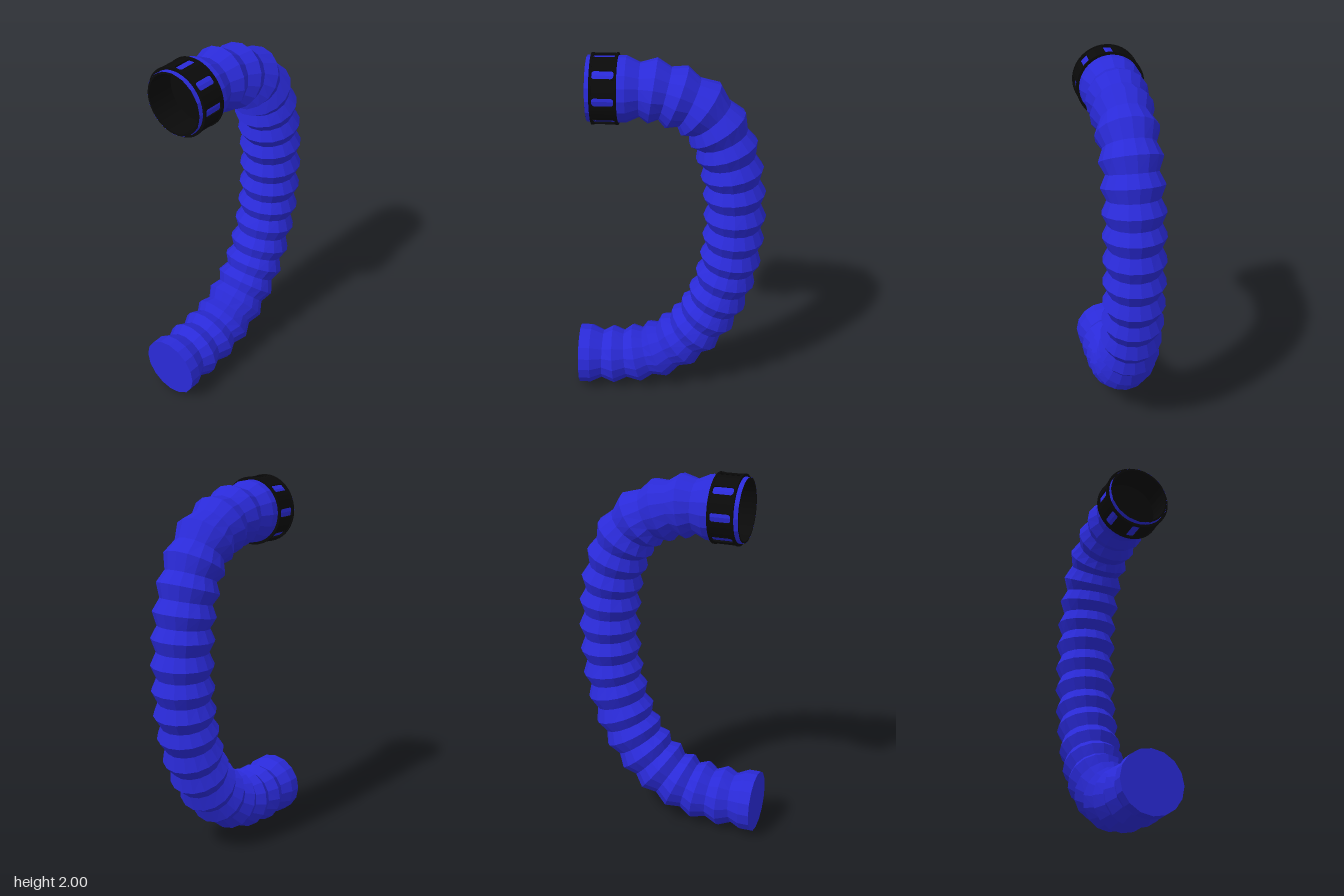
import * as THREE from 'three';

const SIDES = 16, PEAK = 0.167, VALLEY = 0.137;
const blue = new THREE.MeshStandardMaterial({ color: 0x2a2ad8, flatShading: true, side: THREE.DoubleSide });
const black = new THREE.MeshStandardMaterial({ color: 0x0a0a0a, flatShading: true, side: THREE.DoubleSide });

function add(parent, name, geometry, material) {
  const mesh = new THREE.Mesh(geometry, material);
  mesh.name = name;
  parent.add(mesh);
  return mesh;
}

// Centres of the ridges along the hose, from the lower end to the upper end
const RIDGES = [
  [-0.45, 0.17], [-0.32, 0.168], [-0.185, 0.182], [-0.065, 0.218], [0.05, 0.29], [0.14, 0.377],
  [0.213, 0.483], [0.265, 0.597], [0.305, 0.727], [0.33, 0.85], [0.342, 0.98], [0.346, 1.11],
  [0.34, 1.245], [0.325, 1.37], [0.293, 1.497], [0.243, 1.615], [0.155, 1.72], [0.035, 1.782],
  [-0.085, 1.814], [-0.215, 1.82],
];

// Skin rings of SIDES points, each ring square to the path
function loft(rings) {
  const pos = [], index = [];
  for (const { c, t, r } of rings) {
    for (let j = 0; j <= SIDES; j++) {
      const a = (j / SIDES) * Math.PI * 2, n = r * Math.cos(a);
      pos.push(c.x + t.y * n, c.y - t.x * n, r * Math.sin(a));
    }
  }
  const w = SIDES + 1;
  for (let i = 0; i < rings.length - 1; i++) {
    for (let j = 0; j < SIDES; j++) {
      const a = i * w + j, b = a + w;
      index.push(a, b, a + 1, a + 1, b, b + 1);
    }
  }
  const indexed = new THREE.BufferGeometry();
  indexed.setAttribute('position', new THREE.Float32BufferAttribute(pos, 3));
  indexed.setIndex(index);
  const g = indexed.toNonIndexed();
  g.computeVertexNormals();
  return g;
}

function hoseGeometry() {
  const curve = new THREE.CatmullRomCurve3(RIDGES.map(([x, y]) => new THREE.Vector3(x, y, 0)));
  const steps = (RIDGES.length - 1) * 2;
  const right = new THREE.Vector3(1, 0, 0), left = new THREE.Vector3(-1, 0, 0);
  // Closed lower collar
  const rings = [0, PEAK].map((r) => ({ c: new THREE.Vector3(-0.512, 0.17, 0), t: right, r }));
  // Alternating ridges and valleys
  for (let i = 0; i <= steps; i++) {
    const t = i === 0 ? right : i === steps ? left : curve.getTangent(i / steps);
    rings.push({ c: curve.getPoint(i / steps), t, r: i % 2 ? VALLEY : PEAK });
  }
  // Straight upper collar, open at the end
  rings.push({ c: new THREE.Vector3(-0.412, 1.82, 0), t: left, r: PEAK });
  return loft(rings);
}

// Closed rectangular section turned around the y axis
function band(r0, r1, y0, y1, start = 0, length = Math.PI * 2, segments = 48) {
  const p = [[r0, y0], [r1, y0], [r1, y1], [r0, y1], [r0, y0]].map(([x, y]) => new THREE.Vector2(x, y));
  return new THREE.LatheGeometry(p, segments, start, length);
}

// Small plate with a rounded slot through it
function slotPlate(width, height) {
  const s = new THREE.Shape();
  s.moveTo(-width / 2, -height / 2);
  s.lineTo(width / 2, -height / 2);
  s.lineTo(width / 2, height / 2);
  s.lineTo(-width / 2, height / 2);
  s.closePath();
  const w = 0.022, h = 0.054, r = 0.014, hole = new THREE.Path();
  hole.absarc(w - r, h - r, r, 0, Math.PI / 2);
  hole.absarc(r - w, h - r, r, Math.PI / 2, Math.PI);
  hole.absarc(r - w, r - h, r, Math.PI, Math.PI * 1.5);
  hole.absarc(w - r, r - h, r, Math.PI * 1.5, Math.PI * 2);
  hole.closePath();
  s.holes.push(hole);
  return new THREE.ExtrudeGeometry(s, { depth: 0.008, bevelEnabled: false, curveSegments: 5 });
}

function clampRing() {
  const ring = new THREE.Group();
  ring.name = 'clampRing';
  const half = 0.15, pitch = Math.PI / 4;
  const plate = slotPlate(2 * 0.178 * Math.sin(half), 0.12);
  const bridge = band(0.168, 0.178, -0.06, 0.06, half, pitch - 2 * half, 4);
  for (let k = 0; k < 8; k++) {
    const slot = add(ring, 'slottedPlate', plate, black);
    slot.rotation.y = k * pitch;
    slot.position.set(Math.sin(k * pitch) * 0.169, 0, Math.cos(k * pitch) * 0.169);
    add(ring, 'bridge', bridge, black).rotation.y = k * pitch;
  }
  // Raised rims on both edges
  add(ring, 'outerRim', band(0.167, 0.181, -0.067, -0.056), black);
  add(ring, 'innerRim', band(0.167, 0.181, 0.056, 0.067), black);
  return ring;
}

export function createModel() {
  const model = new THREE.Group();
  model.name = 'corrugatedHose';
  add(model, 'hose', hoseGeometry(), blue);

  // Clamp and dark bore at the upper end, with their axis along x
  const fitting = new THREE.Group();
  fitting.name = 'endFitting';
  fitting.position.set(-0.322, 1.82, 0);
  fitting.rotation.z = -Math.PI / 2;
  fitting.add(clampRing());
  const bore = [[0.165, -0.09], [0.155, -0.09], [0.155, 0.06], [0, 0.06]];
  add(fitting, 'bore', new THREE.LatheGeometry(bore.map(([x, y]) => new THREE.Vector2(x, y)), 32), black);
  model.add(fitting);
  return model;
}
